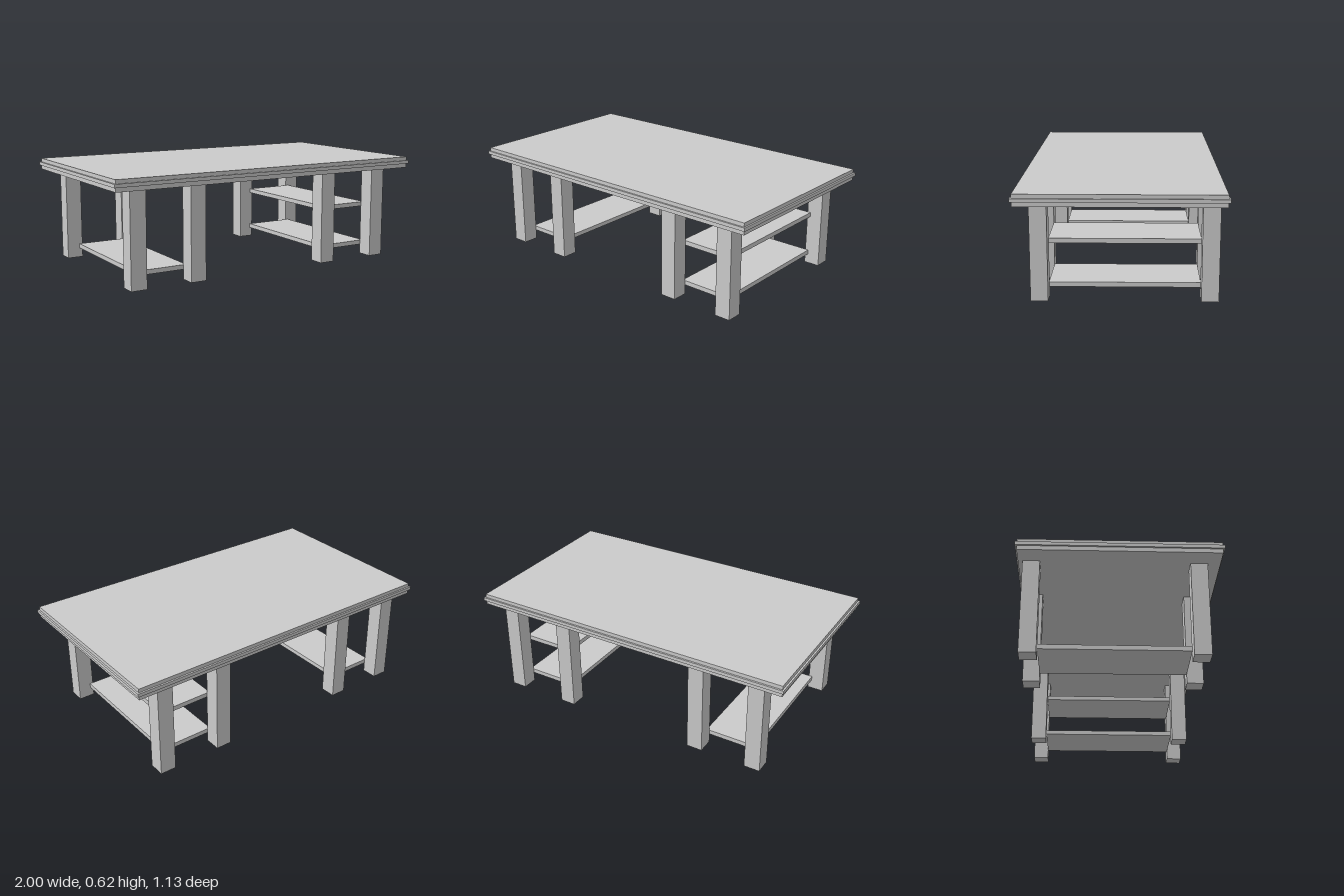
import * as THREE from 'three';

export function createModel() {
  const group = new THREE.Group();
  const material = new THREE.MeshStandardMaterial({ color: 0xcccccc, flatShading: true });

  // Box given by its extents along each axis
  function block(name, [x0, x1], [y0, y1], [z0, z1]) {
    const mesh = new THREE.Mesh(new THREE.BoxGeometry(x1 - x0, y1 - y0, z1 - z0), material);
    mesh.position.set((x0 + x1) / 2, (y0 + y1) / 2, (z0 + z1) / 2);
    mesh.name = name;
    group.add(mesh);
  }

  // Layered tabletop with a protruding middle band
  block('tabletopLower', [-0.99, 0.99], [0.555, 0.58], [-0.555, 0.555]);
  block('tabletopBand', [-1, 1], [0.58, 0.6], [-0.565, 0.565]);
  block('tabletopUpper', [-0.99, 0.99], [0.6, 0.622], [-0.555, 0.555]);

  // Eight square legs in two groups of four
  const legColumns = [[-0.88, -0.785], [-0.513, -0.418], [0.387, 0.482], [0.77, 0.865]];
  const legRows = { front: [0.39, 0.485], back: [-0.53, -0.435] };
  for (const [row, z] of Object.entries(legRows)) {
    for (const x of legColumns) block(`${row}Leg`, x, [0, 0.556], z);
  }

  // Shelves running front to back between the legs
  const depth = [-0.436, 0.391];
  block('rightLowerShelf', [-0.805, -0.495], [0.057, 0.084], depth);
  block('leftLowerShelf', [0.465, 0.79], [0.057, 0.084], depth);
  block('leftUpperShelf', [0.465, 0.79], [0.305, 0.332], depth);

  return group;
}
